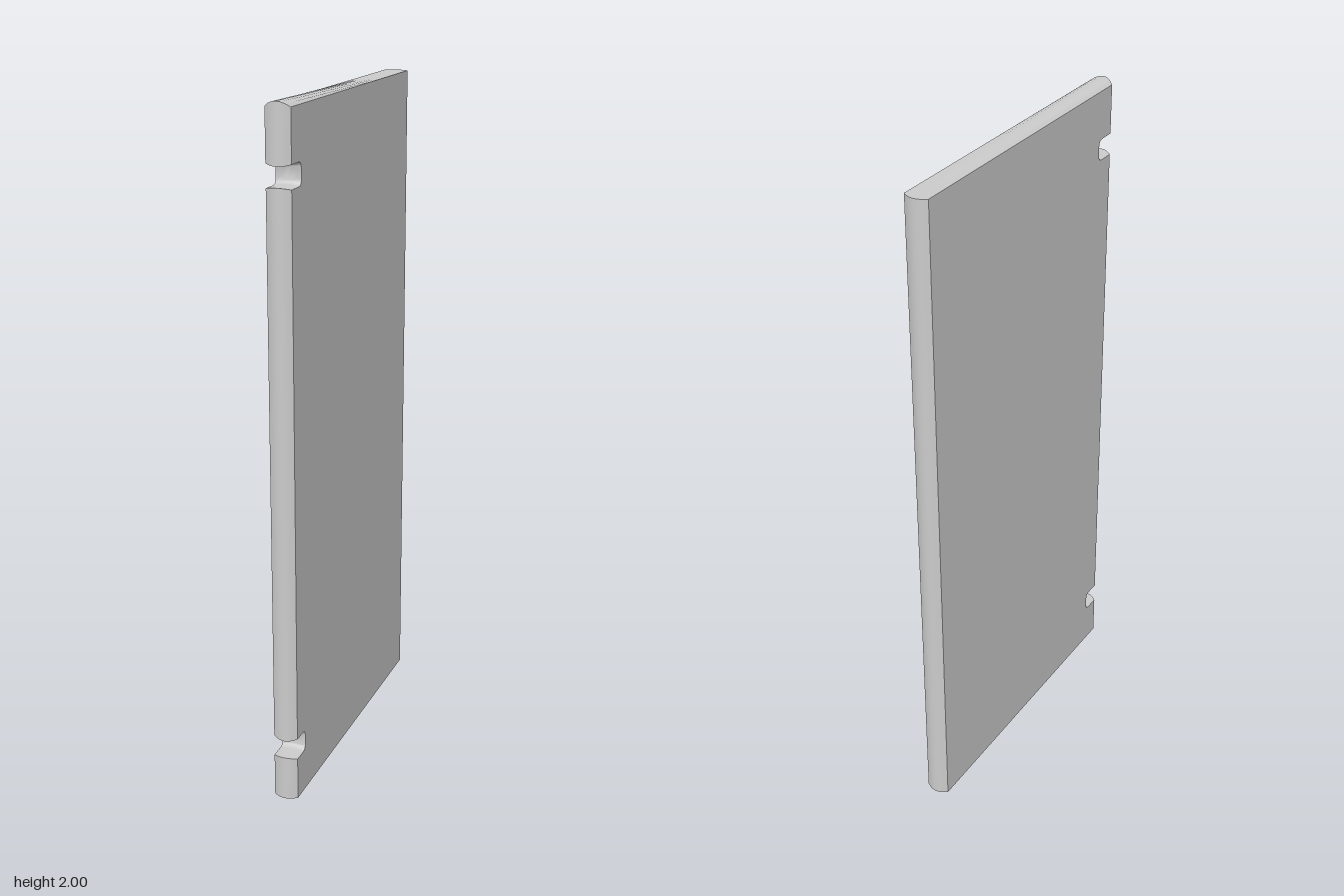
import * as THREE from 'three';
import { toCreasedNormals } from 'three/addons/utils/BufferGeometryUtils.js';

const HALF_W = 0.464, HALF_T = 0.036, HEIGHT = 1.985;
const NOTCHES = [{ y: 1.808, x: -0.398 }, { y: 0.16, x: -0.404 }];
const NOTCH_H = 0.032;

// Panel outline with two round-cornered notches in the left edge
function panelShape() {
  const s = new THREE.Shape();
  s.moveTo(-HALF_W, 0);
  s.lineTo(HALF_W, 0);
  s.lineTo(HALF_W, HEIGHT);
  s.lineTo(0.2, HEIGHT);
  s.lineTo(-HALF_W, HEIGHT);
  for (const { x, y } of NOTCHES) {
    const r = 0.018;
    s.lineTo(-HALF_W, y + NOTCH_H);
    s.lineTo(x - r, y + NOTCH_H);
    s.quadraticCurveTo(x, y + NOTCH_H, x, y + NOTCH_H - r);
    s.lineTo(x, y - NOTCH_H + r);
    s.quadraticCurveTo(x, y - NOTCH_H, x - r, y - NOTCH_H);
    s.lineTo(-HALF_W, y - NOTCH_H);
  }
  s.closePath();
  return s;
}

export function createModel() {
  const geo = new THREE.ExtrudeGeometry(panelShape(), {
    depth: 2 * HALF_T, steps: 6, bevelEnabled: false, curveSegments: 5,
  });
  geo.translate(0, 0, -HALF_T);

  const p = geo.attributes.position;
  for (let i = 0; i < p.count; i++) {
    let x = p.getX(i), y = p.getY(i);
    const bulge = 1 - (p.getZ(i) / HALF_T) ** 2;
    // Notches narrow slightly towards the middle of the thickness
    for (const n of NOTCHES) {
      if (x < -0.39 && Math.abs(y - n.y) < NOTCH_H + 0.001) {
        y = n.y + (y - n.y) * (1 - 0.15 * bulge);
      }
    }
    // Top ridge, highest at the left and fading out to the right
    if (y > HEIGHT - 0.001) {
      y += 0.015 * bulge * THREE.MathUtils.clamp((0.2 - x) / (0.2 + HALF_W), 0, 1);
    }
    // Rounded side edges
    if (Math.abs(x) > HALF_W - 0.001) x += Math.sign(x) * 0.015 * bulge;
    p.setXY(i, x, y);
  }

  const panel = new THREE.Mesh(
    toCreasedNormals(geo, 0.5),
    new THREE.MeshStandardMaterial({ color: 0xcccccc })
  );
  panel.name = 'doorPanel';
  panel.rotation.y = THREE.MathUtils.degToRad(30.6);

  const group = new THREE.Group();
  group.name = 'notchedDoor';
  group.add(panel);
  return group;
}
